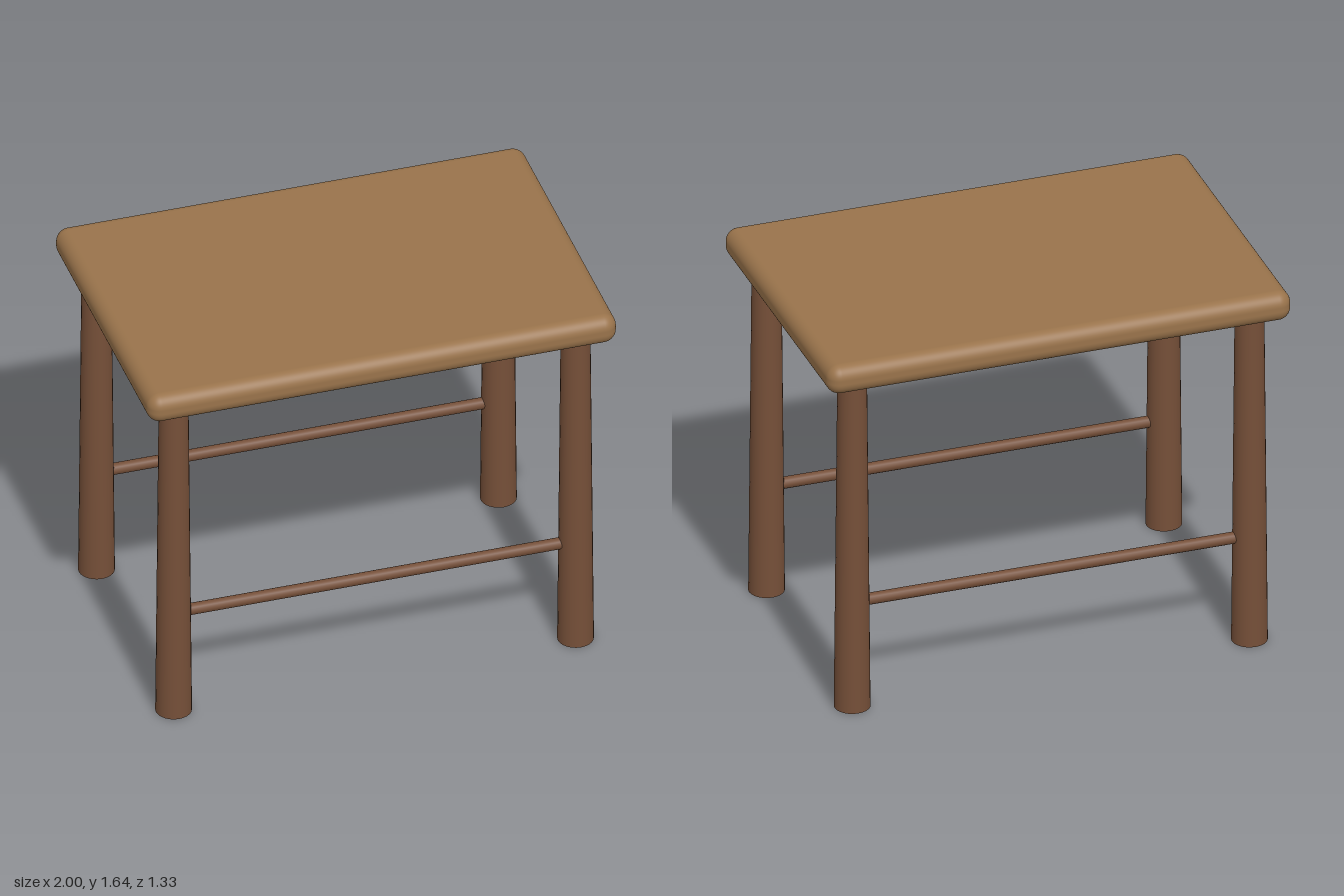
import * as THREE from 'three';
import { RoundedBoxGeometry } from 'three/addons/geometries/RoundedBoxGeometry.js';

export function createModel() {
  const table = new THREE.Group();
  table.name = 'table';

  const lightWood = new THREE.MeshStandardMaterial({ color: 0x99734b });
  lightWood.name = 'lightWood';
  const darkWood = new THREE.MeshStandardMaterial({ color: 0x754f38 });
  darkWood.name = 'darkWood';

  const add = (name, geometry, material, x, y, z) => {
    const mesh = new THREE.Mesh(geometry, material);
    mesh.name = name;
    mesh.position.set(x, y, z);
    table.add(mesh);
  };

  const legX = 0.857, legZ = 0.525, legHeight = 1.51;

  // Thick top with rounded edges
  add('tableTop', new RoundedBoxGeometry(2, 0.13, 1.33, 6, 0.056), lightWood, 0, 1.575, 0);

  // Round legs, wider at the foot
  const leg = new THREE.CylinderGeometry(0.061, 0.075, legHeight, 24);
  // Thin rods between the legs along each long side
  const stretcher = new THREE.CylinderGeometry(0.025, 0.025, legX * 2, 16).rotateZ(Math.PI / 2);

  for (const [end, sz] of [['front', 1], ['back', -1]]) {
    for (const [side, sx] of [['Left', 1], ['Right', -1]]) {
      add(`${end}${side}Leg`, leg, darkWood, sx * legX, legHeight / 2, sz * legZ);
    }
    add(`${end}Stretcher`, stretcher, darkWood, 0, 0.48, sz * legZ);
  }

  return table;
}
